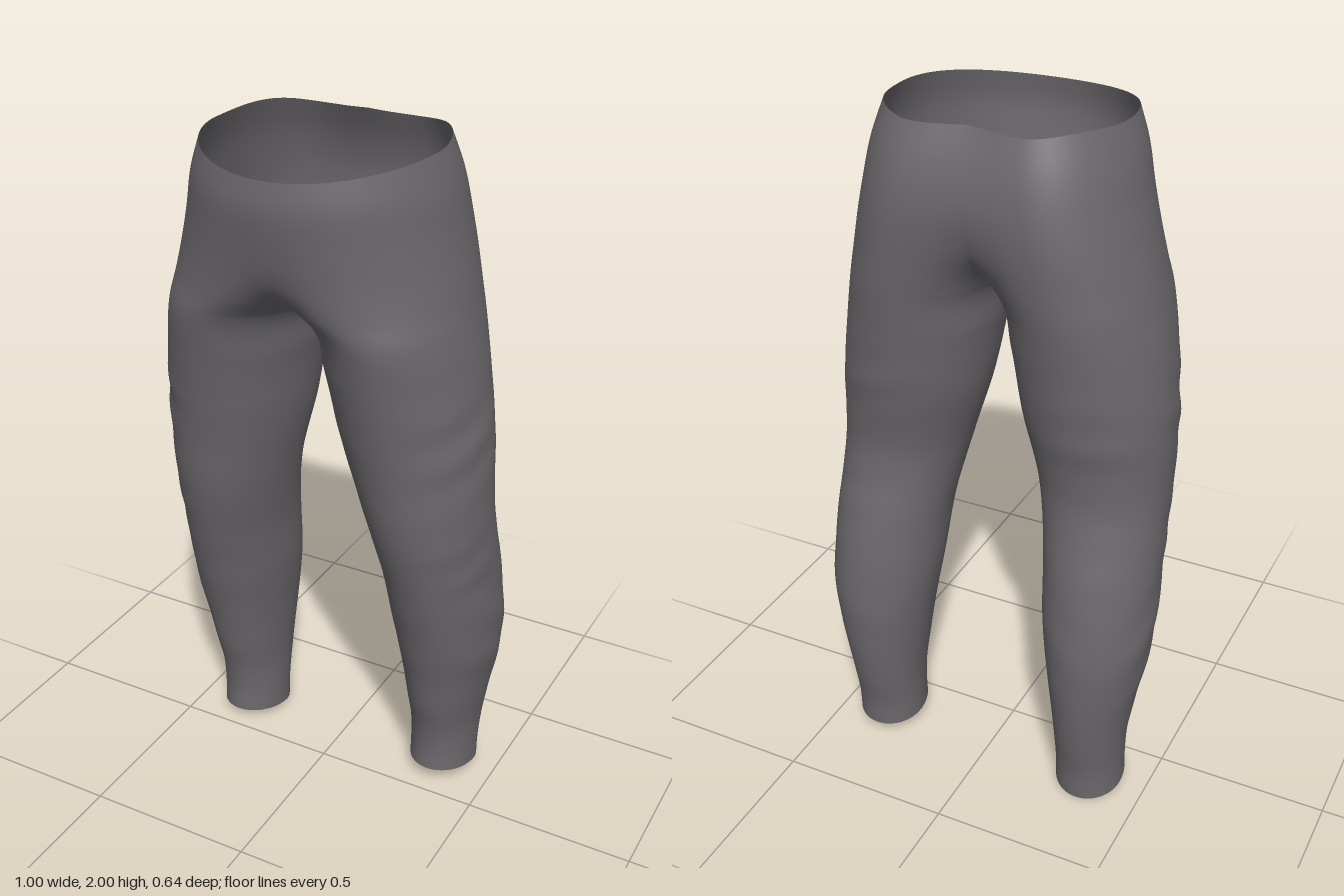
import * as THREE from 'three';
import { mergeVertices } from 'three/addons/utils/BufferGeometryUtils.js';

const CROTCH = 1.54, HEM = 0.022, WAIST = 1.99, SEAM = 0.08;

// Outline by height: y, outer x, front z, back z
const OUTLINE = [
  [0, 0.435, -0.03, -0.262], [0.1, 0.435, -0.035, -0.266], [0.2, 0.44, -0.025, -0.285],
  [0.3, 0.455, 0, -0.3], [0.4, 0.473, 0.02, -0.31], [0.5, 0.49, 0.045, -0.315],
  [0.6, 0.495, 0.07, -0.31], [0.8, 0.49, 0.12, -0.28], [0.9, 0.487, 0.145, -0.255],
  [1.0, 0.485, 0.163, -0.24], [1.1, 0.484, 0.175, -0.247], [1.2, 0.48, 0.19, -0.264],
  [1.4, 0.456, 0.225, -0.285], [1.6, 0.417, 0.265, -0.305], [1.8, 0.372, 0.305, -0.31],
  [1.9, 0.35, 0.318, -0.29], [2.0, 0.315, 0.31, -0.25],
];
// Inner shape by height: y, inner x front, inner x back, centre x front, centre x back
const INNER = [
  [0, 0.237, 0.237, 0.335, 0.335], [0.2, 0.232, 0.232, 0.337, 0.337],
  [0.4, 0.21, 0.21, 0.34, 0.34], [0.6, 0.182, 0.182, 0.34, 0.34],
  [0.8, 0.163, 0.163, 0.327, 0.327], [1.0, 0.122, 0.122, 0.305, 0.305],
  [1.2, 0.068, 0.068, 0.275, 0.275], [1.4, 0.032, 0.032, 0.25, 0.25],
  [CROTCH, 0, 0, 0.22, 0.23], [1.61, -0.08, -0.05, 0.15, 0.21],
  [1.7, -0.2, -0.17, 0.08, 0.19], [1.82, -0.28, -0.34, 0.03, 0.16], [2.0, -0.3, -0.16, 0, 0.14],
];

// Smooth lookup through the rows of a table
function lookup(rows) {
  const n = rows[0].length - 1;
  const spline = new THREE.CubicInterpolant(
    rows.map((r) => r[0]), rows.flatMap((r) => r.slice(1)), n, new Float32Array(n));
  return (y) => Array.from(spline.evaluate(y));
}
const outlineAt = lookup(OUTLINE), innerAt = lookup(INNER);

// Soft cloth folds: height, spread, size, frequency, slant
const FOLDS = [[1.22, 0.12, 0.0035, 44, 0.12], [0.55, 0.2, 0.003, 33, -0.12], [0.85, 0.12, 0.002, 50, 0.1]];
function fold(y, a, side) {
  let f = 0;
  for (const [y0, w, size, freq, slant] of FOLDS) {
    const wave = Math.sin(freq * (y + slant * Math.sin(a + side * 0.4)) + side);
    f += size * Math.exp(-(((y - y0) / w) ** 2)) * wave * (0.55 + 0.45 * Math.sin(3 * a + freq));
  }
  return f * (1 + Math.cos(a)) / 2;
}

// Point on one side; u runs from the front seam round the outside to the back seam
function clothPoint(y, u, side) {
  const [xo, zF, zB] = outlineAt(y);
  const [xiF, xiB, cF, cB] = innerAt(y);
  const front = u <= 0.5;
  const cx = front ? cF : cB;
  const xi = front || y <= CROTCH ? xiF : xiB;
  // Above the crotch the section stops where it meets the centre plane
  const k = Math.min(1, cx / (cx - xi));
  const a = Math.acos(-k) * (1 - 2 * u);
  const c = Math.cos(a), s = Math.sin(a), f = fold(y, a, side);
  const x = Math.max(0, cx + (c > 0 ? xo - cx : cx - xi) * c + f * c);
  // The widest point of the leg sits a little behind the middle
  const zMid = THREE.MathUtils.lerp(zB, zF, 0.45);
  const depth = (front ? zF : zB) - zMid;
  // Round off the crease along the centre seam
  const slope = (Math.abs(depth) * k * Math.sqrt(1 - k * k)) / (cx - xi);
  const web = (slope * SEAM / 2) * Math.max(0, 1 - x / SEAM) ** 2;
  const z = zMid + Math.abs(depth) * s + f * s + web * Math.sign(s);

  // Uneven hems and dipping waistline
  const hem = Math.max(0, 1 - y / 0.4) ** 2;
  const waist = Math.max(0, (y - 1.65) / (WAIST - 1.65)) ** 2;
  const lift = hem * (side > 0 ? 0.028 + 0.015 * s : 0.02 * s)
    + waist * (s > 0 ? -0.035 * s * s : 0.01 * Math.sin(2 * a) ** 2);

  // Slight lean of the crotch towards the right
  const shift = 0.006 - 0.018 * Math.exp(-(((y - 1.4) / 0.45) ** 2));
  return [side * x + shift, y + lift, z];
}

// Rows are closest together around the crotch
function rowHeights() {
  const ys = [];
  for (let i = 36; i > 0; i--) ys.push(CROTCH + (WAIST - CROTCH) * (i / 36) ** 1.8);
  for (let i = 0; i <= 90; i++) ys.push(CROTCH - (CROTCH - HEM) * (i / 90) ** 1.25);
  return ys;
}

function trouserGeometry() {
  const ys = rowHeights(), N = 96, positions = [], index = [];
  for (const side of [1, -1]) {
    const base = positions.length / 3;
    for (const y of ys) {
      for (let j = 0; j <= N; j++) positions.push(...clothPoint(y, j / N, side));
    }
    for (let i = 0; i < ys.length - 1; i++) {
      for (let j = 0; j < N; j++) {
        const a = base + i * (N + 1) + j, b = a + N + 1;
        if (side > 0) index.push(a, b, a + 1, b, b + 1, a + 1);
        else index.push(a, a + 1, b, b, a + 1, b + 1);
      }
    }
  }
  const g = new THREE.BufferGeometry();
  g.setAttribute('position', new THREE.Float32BufferAttribute(positions, 3));
  g.setIndex(index);
  // Join the two sides along the centre seam and close the inside leg seams
  const joined = mergeVertices(g, 1e-4);
  joined.computeVertexNormals();
  return joined;
}

export function createModel() {
  const group = new THREE.Group();
  group.name = 'trousers';
  const material = new THREE.MeshStandardMaterial({ color: 0x6b686c, side: THREE.DoubleSide });
  const cloth = new THREE.Mesh(trouserGeometry(), material);
  cloth.name = 'trouserCloth';
  group.add(cloth);
  return group;
}
